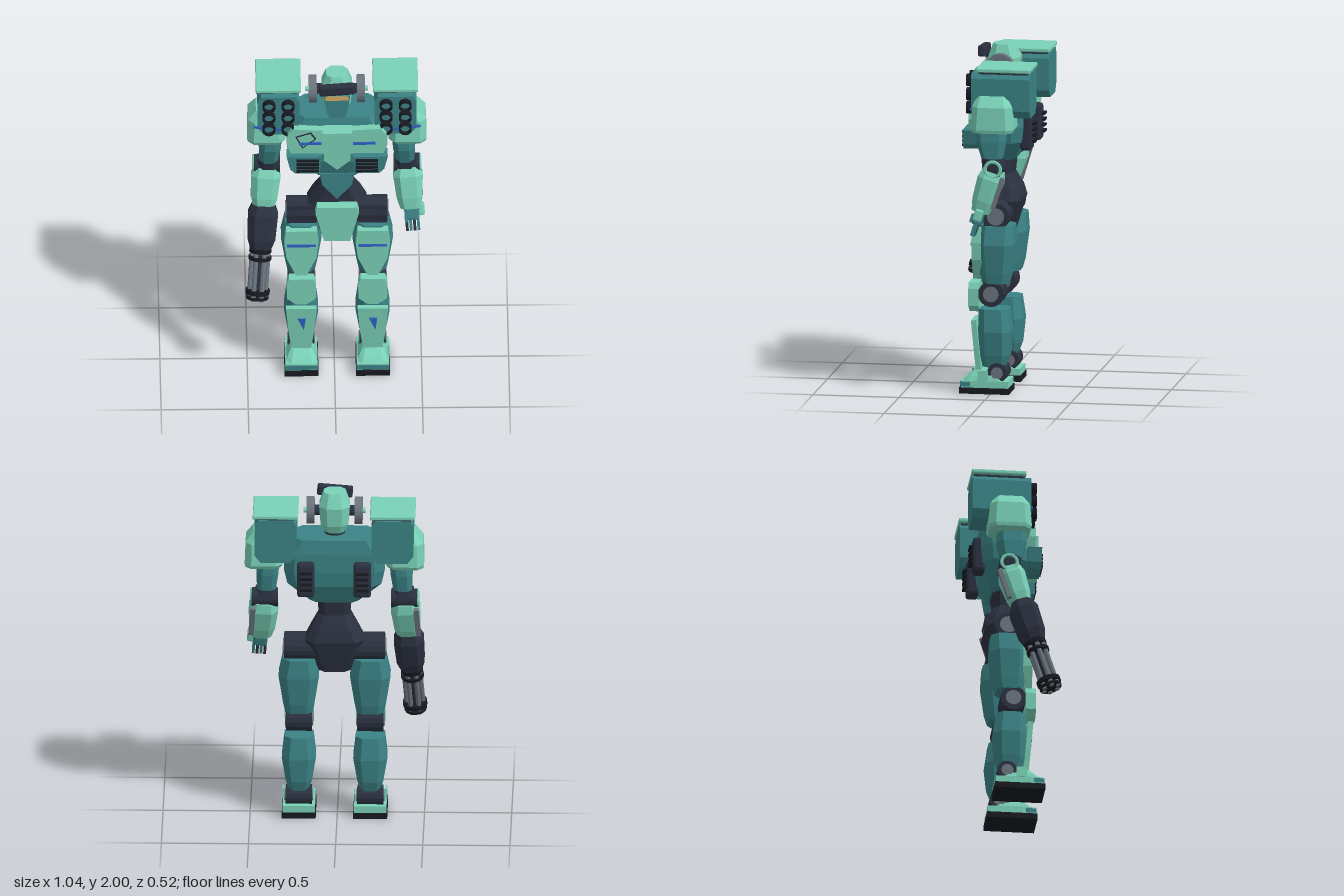
import * as THREE from 'three';
import { RoundedBoxGeometry } from 'three/addons/geometries/RoundedBoxGeometry.js';

const material = (name, color, flat = true) => {
  const m = new THREE.MeshStandardMaterial({ color, flatShading: flat });
  m.name = name;
  return m;
};

export function createModel() {
  const mint = material('mint armour', 0x79d1b6);
  const teal = material('teal body', 0x3b8386);
  const dark = material('dark frame', 0x2b3140);
  const black = material('black', 0x171a21);
  const gray = material('gray metal', 0x6b757e);
  const blue = material('blue marking', 0x2f62c8);
  const amber = material('amber visor', 0xd9ab62);

  const model = new THREE.Group();
  const body = new THREE.Group();
  body.name = 'body';
  body.position.x = 0.015;
  model.add(body);

  const add = (name, geo, mat, pos = [0, 0, 0], parent = body) => {
    const mesh = new THREE.Mesh(geo, mat);
    mesh.name = name;
    mesh.position.set(...pos);
    parent.add(mesh);
    return mesh;
  };
  const box = (name, mat, size, pos, parent) => add(name, new THREE.BoxGeometry(...size), mat, pos, parent);
  const rbox = (name, mat, size, pos, parent) =>
    add(name, new RoundedBoxGeometry(...size, 1, Math.min(...size) * 0.25), mat, pos, parent);
  // Cylinder lying along x, y or z
  const cyl = (name, mat, r, len, axis, pos, parent, sides = 16) => {
    const g = new THREE.CylinderGeometry(r, r, len, sides);
    if (axis === 'x') g.rotateZ(Math.PI / 2);
    if (axis === 'z') g.rotateX(Math.PI / 2);
    return add(name, g, mat, pos, parent);
  };
  // Chamfered-rectangle loft; sections from bottom to top: [y, cx, cz, halfX, halfZ]
  const loft = (name, mat, sections, chamfer = 0.3, parent) => {
    const rings = sections.map(([y, cx, cz, hx, hz]) => {
      const c = Math.min(hx, hz) * chamfer;
      return [[hx, -hz + c], [hx, hz - c], [hx - c, hz], [c - hx, hz], [-hx, hz - c], [-hx, c - hz], [c - hx, -hz], [hx - c, -hz]]
        .map(([x, z]) => [cx + x, y, cz + z]);
    });
    const v = [];
    const last = rings.length - 1;
    const middle = (i) => [sections[i][1], sections[i][0], sections[i][2]];
    for (let j = 0; j < 8; j++) {
      const k = (j + 1) % 8;
      for (let i = 0; i < last; i++) {
        const a = rings[i][j], b = rings[i][k], c = rings[i + 1][k], d = rings[i + 1][j];
        v.push(...a, ...d, ...b, ...b, ...d, ...c);
      }
      v.push(...middle(0), ...rings[0][j], ...rings[0][k]);
      v.push(...middle(last), ...rings[last][k], ...rings[last][j]);
    }
    const g = new THREE.BufferGeometry();
    g.setAttribute('position', new THREE.Float32BufferAttribute(v, 3));
    g.computeVertexNormals();
    return add(name, g, mat, [0, 0, 0], parent);
  };
  // Flat outline in xy pushed forward along z
  const plate = (name, mat, points, z, depth, parent, hole) => {
    const shape = new THREE.Shape(points.map(([x, y]) => new THREE.Vector2(x, y)));
    if (hole) shape.holes.push(new THREE.Path(hole.map(([x, y]) => new THREE.Vector2(x, y))));
    return add(name, new THREE.ExtrudeGeometry(shape, { depth, bevelEnabled: false }), mat, [0, 0, z], parent);
  };

  // Torso, waist and pelvis
  loft('torso', teal, [[1.34, 0, -0.02, 0.14, 0.09], [1.46, 0, -0.03, 0.27, 0.14],
    [1.55, 0, -0.035, 0.29, 0.145], [1.66, 0, -0.045, 0.28, 0.135], [1.745, 0, -0.05, 0.23, 0.12]], 0.4);
  loft('waist', dark, [[0.9, 0, -0.02, 0.09, 0.07], [1.1, 0, -0.045, 0.17, 0.1],
    [1.17, 0, -0.04, 0.135, 0.09], [1.25, 0, -0.02, 0.09, 0.07], [1.36, 0, -0.02, 0.1, 0.08]], 0.5);
  plate('bellyWedge', teal, [[-0.1, 1.36], [0.1, 1.36], [0.085, 1.28], [0, 1.18], [-0.085, 1.28]], 0.045, 0.04);
  plate('pelvisPlate', mint, [[-0.115, 1.14], [0.115, 1.14], [0.125, 1.1], [0.075, 0.905], [-0.075, 0.905], [-0.125, 1.1]], 0.055, 0.06);
  plate('sternumPlate', mint, [[-0.085, 1.7], [0.085, 1.7], [0.075, 1.51], [0, 1.445], [-0.075, 1.51]], 0.08, 0.085);
  const patch = [[-0.24, 1.655], [-0.15, 1.685], [-0.12, 1.64], [-0.2, 1.575]];
  const inner = patch.map(([x, y]) => [-0.178 + (x + 0.178) * 0.84, 1.638 + (y - 1.638) * 0.84]);
  plate('patchOutline', dark, patch, 0.128, 0.006, body, inner);

  // Head
  cyl('neck', dark, 0.06, 0.08, 'y', [0, 1.75, -0.03]);
  loft('helmet', mint, [[1.76, 0, -0.035, 0.055, 0.06], [1.81, 0, -0.035, 0.08, 0.082],
    [1.92, 0, -0.035, 0.088, 0.092], [2, 0, -0.03, 0.062, 0.06]], 0.5);
  plate('face', teal, [[-0.075, 1.9], [0.075, 1.9], [0.06, 1.79], [0.045, 1.75], [-0.045, 1.75], [-0.06, 1.79]], 0.03, 0.045);
  box('visor', amber, [0.13, 0.026, 0.009], [0, 1.886, 0.077]);
  const brow = rbox('brow', dark, [0.205, 0.065, 0.045], [0, 1.955, 0.085]);
  brow.rotation.z = 0.08;

  for (const s of [-1, 1]) {
    const mirror = (points) => points.map(([x, y]) => [x * s, y]);

    // Ear discs
    cyl('earDisc', gray, 0.08, 0.045, 'x', [s * 0.138, 1.88, -0.032], body, 24);
    cyl('earHub', mint, 0.015, 0.02, 'x', [s * 0.168, 1.88, -0.032]);
    cyl('earRod', dark, 0.03, 0.05, 'x', [s * 0.1, 1.88, -0.032]);

    // Chest armour, vents and back vents
    plate('chestPlate', mint, mirror([[0.07, 1.695], [0.25, 1.705], [0.285, 1.66], [0.29, 1.6], [0.265, 1.53], [0.07, 1.53]]), 0.06, 0.068);
    box('chestStripe', blue, [0.13, 0.016, 0.008], [s * 0.155, 1.607, 0.131]);
    plate('ventBlock', teal, mirror([[0.09, 1.535], [0.29, 1.535], [0.27, 1.45], [0.24, 1.42], [0.1, 1.42]]), 0.08, 0.085);
    for (let i = 0; i < 4; i++) {
      box('ventSlat', black, [0.13, 0.014, 0.012], [s * 0.17, 1.512 - i * 0.024, 0.168]);
      box('backVentFin', black, [0.07, 0.012, 0.03], [s * 0.162, 1.565 - i * 0.034, -0.23]);
    }
    rbox('backVent', dark, [0.1, 0.21, 0.07], [s * 0.162, 1.515, -0.19]);

    // Missile pod with tubes and lid
    const px = s * 0.336;
    const outline = [[-0.085, 1.64], [0.085, 1.64], [0.12, 1.685], [0.12, 1.87], [0.1, 1.9], [-0.1, 1.9], [-0.12, 1.87], [-0.12, 1.685]];
    plate('missilePod', teal, outline, -0.255, 0.34).position.x = px;
    box('podSeal', dark, [0.21, 0.016, 0.29], [px, 1.902, -0.1]);
    rbox('podLid', mint, [0.26, 0.024, 0.315], [px, 1.919, -0.102]);
    for (const tx of [-0.055, 0.055]) for (const ty of [1.69, 1.77, 1.85]) {
      const tube = new THREE.Shape().absarc(0, 0, 0.037, 0, Math.PI * 2);
      tube.holes.push(new THREE.Path().absarc(0, 0, 0.028, 0, Math.PI * 2));
      add('tubeRim', new THREE.ExtrudeGeometry(tube, { depth: 0.04, bevelEnabled: false, curveSegments: 10 }), black, [px + tx, ty, 0.08]);
      cyl('tubeCore', teal, 0.028, 0.01, 'z', [px + tx, ty, 0.09]);
    }

    // Shoulder and upper arm
    loft('shoulderPad', mint, [[1.56, s * 0.41, -0.04, 0.1, 0.115], [1.58, s * 0.405, -0.04, 0.11, 0.125],
      [1.71, s * 0.405, -0.04, 0.105, 0.115], [1.77, s * 0.39, -0.035, 0.075, 0.09]], 0.35);
    box('shoulderStripe', blue, [0.19, 0.014, 0.009], [s * 0.385, 1.683, 0.085]).rotation.z = s * 0.12;
    loft('upperArm', teal, [[1.38, s * 0.392, -0.03, 0.052, 0.055], [1.5, s * 0.385, -0.022, 0.063, 0.085],
      [1.65, s * 0.37, -0.022, 0.06, 0.085]], 0.5);
    cyl('elbow', dark, 0.055, 0.15, 'x', [s * 0.4, 1.345, -0.045]);
    loft('elbowBlock', dark, [[1.34, s * 0.395, -0.04, 0.062, 0.06], [1.4, s * 0.393, -0.03, 0.06, 0.06]], 0.5);
    add('elbowRing', new THREE.TorusGeometry(0.045, 0.01, 6, 20).rotateY(Math.PI / 2), mint, [s * 0.476, 1.345, -0.045]);

    // Forearm, swung forward and outward from the elbow
    const arm = new THREE.Group();
    arm.name = s > 0 ? 'leftForearm' : 'rightForearm';
    arm.position.set(s * 0.403, 1.345, -0.045);
    arm.rotation.set(-0.3, 0, s * 0.07);
    body.add(arm);
    loft('forearmArmour', mint, [[-0.27, 0, 0, 0.058, 0.05], [-0.2, 0, 0, 0.075, 0.066],
      [-0.07, 0, 0, 0.085, 0.075], [-0.015, 0, 0, 0.068, 0.06]], 0.5, arm);
    box('forearmRail', gray, [0.03, 0.19, 0.025], [s * 0.062, -0.13, -0.068], arm);
    if (s > 0) {
      // Left hand
      rbox('palm', teal, [0.085, 0.085, 0.055], [0.005, -0.305, 0], arm);
      rbox('wristGuard', mint, [0.035, 0.07, 0.05], [0.062, -0.285, 0], arm);
      for (let i = 0; i < 4; i++) box('finger', i % 2 ? teal : dark, [0.016, 0.075, 0.025], [-0.028 + i * 0.022, -0.375, 0], arm);
      box('thumb', teal, [0.02, 0.05, 0.025], [-0.028, -0.325, 0.035], arm);
    } else {
      // Right rotary gun
      loft('gunBody', dark, [[-0.51, 0, 0, 0.06, 0.06], [-0.45, 0, 0, 0.08, 0.075],
        [-0.3, 0, 0, 0.086, 0.08], [-0.245, 0, 0, 0.065, 0.06]], 0.5, arm);
      for (const [y, r, h] of [[-0.52, 0.064, 0.03], [-0.57, 0.066, 0.02], [-0.775, 0.07, 0.025], [-0.81, 0.065, 0.015]])
        cyl('barrelClamp', black, r, h, 'y', [0, y, 0], arm, 20);
      cyl('barrelCore', dark, 0.02, 0.3, 'y', [0, -0.66, 0], arm);
      for (let i = 0; i < 6; i++) {
        const a = i * Math.PI / 3;
        cyl('barrel', gray, 0.014, 0.31, 'y', [Math.cos(a) * 0.046, -0.67, Math.sin(a) * 0.046], arm, 8);
      }
    }

    // Hip, thigh and knee
    const lx = s * 0.205;
    cyl('hipJoint', dark, 0.078, 0.18, 'x', [s * 0.2, 1.035, -0.03]);
    box('hipBlock', dark, [0.17, 0.12, 0.1], [s * 0.203, 1.04, -0.01]);
    cyl('hipCap', gray, 0.05, 0.01, 'x', [s * 0.292, 1.035, -0.03]);
    loft('thigh', teal, [[0.64, lx, -0.02, 0.078, 0.075], [0.7, lx, -0.022, 0.09, 0.09],
      [0.87, lx, -0.025, 0.116, 0.108], [0.98, lx, -0.028, 0.092, 0.1]], 0.45);
    const onLeg = (points) => points.map(([x, y]) => [lx + x, y]);
    plate('thighPlate', mint, onLeg([[-0.088, 0.97], [0.088, 0.97], [0.098, 0.88], [0.085, 0.78], [0.03, 0.66], [-0.03, 0.66], [-0.085, 0.78], [-0.098, 0.88]]), 0.055, 0.055);
    box('thighStripe', blue, [0.165, 0.016, 0.008], [lx, 0.872, 0.112]);
    cyl('knee', dark, 0.075, 0.15, 'x', [lx, 0.58, 0]);
    cyl('kneeCap', gray, 0.045, 0.162, 'x', [lx, 0.58, 0]);
    plate('kneeGuard', mint, onLeg([[-0.085, 0.61], [-0.07, 0.645], [0.07, 0.645], [0.085, 0.61], [0.082, 0.51], [0.03, 0.47], [-0.03, 0.47], [-0.082, 0.51]]), 0.07, 0.06);

    // Shin
    loft('shin', teal, [[0.15, lx, -0.01, 0.055, 0.065], [0.22, lx, -0.015, 0.075, 0.085],
      [0.36, lx, -0.018, 0.098, 0.095], [0.49, lx, -0.01, 0.083, 0.085]], 0.45);
    const guard = new THREE.Group();
    guard.name = 'shinGuard';
    guard.position.set(lx, 0.13, 0.06);
    guard.rotation.x = 0.08;
    body.add(guard);
    plate('shinPlate', mint, [[-0.055, 0], [0.055, 0], [0.075, 0.14], [0.088, 0.3], [-0.088, 0.3], [-0.075, 0.14]], 0, 0.03, guard);
    plate('shinMark', blue, [[-0.022, 0.23], [0.025, 0.23], [0.015, 0.145]], 0.028, 0.008, guard);

    // Ankle and foot
    cyl('ankle', dark, 0.058, 0.15, 'x', [lx, 0.12, -0.035]);
    cyl('ankleCap', gray, 0.035, 0.162, 'x', [lx, 0.12, -0.035]);
    box('anklePad', mint, [0.012, 0.06, 0.06], [lx + s * 0.09, 0.105, 0.045]);
    box('sole', black, [0.195, 0.035, 0.29], [lx, 0.0175, 0.037]);
    box('footBase', mint, [0.185, 0.04, 0.275], [lx, 0.055, 0.034]);
    box('toeBlock', teal, [0.188, 0.026, 0.06], [lx, 0.055, 0.147]);
    loft('instep', mint, [[0.07, lx, 0.045, 0.088, 0.125], [0.1, lx, 0.045, 0.078, 0.095], [0.135, lx, 0.05, 0.058, 0.05]], 0.3);
  }
  return model;
}
